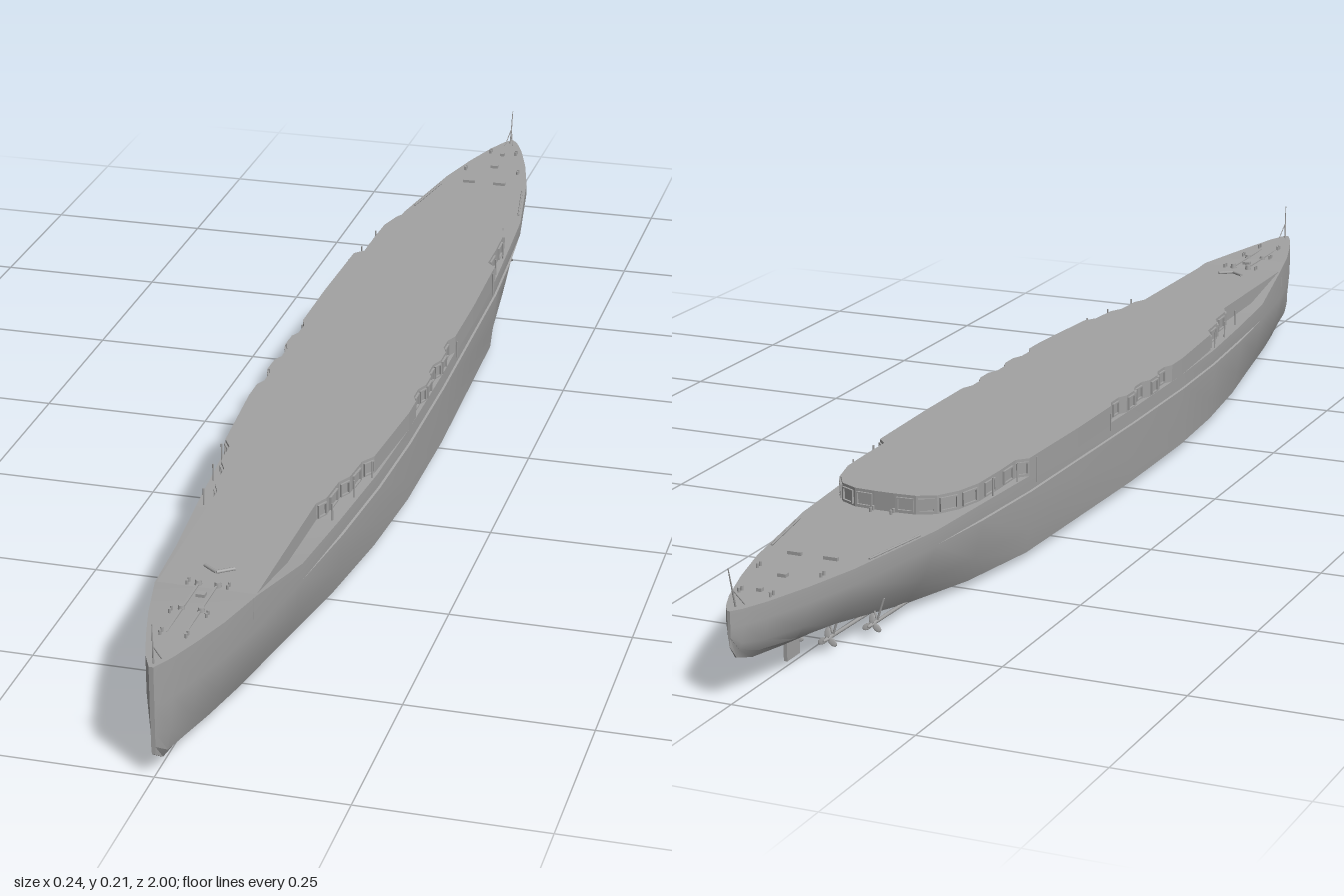
import * as THREE from 'three';
import { toCreasedNormals } from 'three/addons/utils/BufferGeometryUtils.js';

const grey = new THREE.MeshStandardMaterial({ color: 0xa2a2a2, side: THREE.DoubleSide });
grey.name = 'hull grey';

// Hull stations from stern to bow: z, keel height, deck height, half breadth, bilge fullness
const STATIONS = [
  [-1, 0.075, 0.121, 0.002, 0.5],
  [-0.985, 0.056, 0.121, 0.012, 0.45],
  [-0.95, 0.045, 0.121, 0.027, 0.5],
  [-0.88, 0.038, 0.121, 0.049, 0.55],
  [-0.8, 0.033, 0.121, 0.069, 0.6],
  [-0.62, 0.002, 0.121, 0.098, 0.52],
  [-0.5, 0, 0.122, 0.109, 0.78],
  [-0.36, 0, 0.122, 0.117, 0.93],
  [0, 0, 0.122, 0.122, 0.97],
  [0.2, 0, 0.122, 0.121, 0.965],
  [0.35, 0, 0.122, 0.115, 0.93],
  [0.5, 0, 0.123, 0.103, 0.86],
  [0.64, 0, 0.125, 0.087, 0.74],
  [0.78, 0, 0.148, 0.068, 0.6],
  [0.86, 0.002, 0.149, 0.05, 0.52],
  [0.92, 0.006, 0.151, 0.033, 0.45],
  [0.97, 0.012, 0.153, 0.017, 0.5],
  [1, 0.032, 0.154, 0.003, 0.9],
];

// Cross-section: flat bottom, bilge, side, belt ledge and deck, mirrored to a ring
function section([z, keel, top, w, full], squash = 1) {
  const ledge = Math.abs(z) < 0.6 ? 0.003 : 0;
  const side = [
    [w * Math.max(0.1, 1.5 * full - 0.64), keel], [w * full, keel + 0.011],
    [w * (0.5 + full / 2), keel + (0.1 - keel) * 0.45],
    [w, 0.1], [w - ledge, 0.101], [w - ledge, top],
  ];
  const ring = [[0, keel], ...side, [0, top], ...side.map(([x, y]) => [-x, y]).reverse(), [0, keel]];
  return ring.map(([x, y]) => [x * squash, y, z]);
}

function hullGeometry() {
  const rows = STATIONS.map((s) => section(s));
  rows.unshift(section(STATIONS[0], 0)); // collapsed rows close the ends
  rows.push(section(STATIONS[STATIONS.length - 1], 0));
  const n = rows[0].length, index = [];
  for (let r = 0; r < rows.length - 1; r++) {
    for (let i = 0; i < n - 1; i++) {
      const a = r * n + i, d = a + n;
      index.push(a, a + 1, d + 1, a, d + 1, d);
    }
  }
  const g = new THREE.BufferGeometry();
  g.setAttribute('position', new THREE.Float32BufferAttribute(rows.flat(2), 3));
  g.setIndex(index);
  return toCreasedNormals(g, 0.45);
}

// Upper deck edge on the left side, from bow to stern: x, z
function deckEdge() {
  const edge = [
    [0.066, 0.79], [0.069, 0.51], [0.078, 0.49], [0.081, 0.44], [0.091, 0.42],
    [0.095, 0.37], [0.107, 0.35], [0.118, 0.2],
  ];
  // Three gun notches amidships
  for (const z of [0.13, 0.04, -0.05]) {
    edge.push([0.118, z + 0.03], [0.111, z + 0.015], [0.111, z - 0.012], [0.118, z - 0.03]);
  }
  edge.push([0.118, -0.2], [0.114, -0.36], [0.1, -0.375], [0.1, -0.43], [0.098, -0.49]);
  edge.push([0.088, -0.53], [0.07, -0.56], [0.045, -0.573], [0.015, -0.575]);
  return edge;
}

function slab(edge, y0, y1) {
  const pts = [...edge, ...edge.map(([x, z]) => [-x, z]).reverse()];
  const shape = new THREE.Shape(pts.map(([x, z]) => new THREE.Vector2(x, -z)));
  const g = new THREE.ExtrudeGeometry(shape, { depth: y1 - y0, bevelEnabled: false });
  return g.rotateX(-Math.PI / 2).translate(0, y0, 0);
}

function frameGeometry(w, h, t, depth) {
  const rect = (path, a, b) => path.moveTo(-a, -b).lineTo(a, -b).lineTo(a, b).lineTo(-a, b).closePath();
  const shape = rect(new THREE.Shape(), w / 2, h / 2);
  shape.holes.push(rect(new THREE.Path(), w / 2 - t, h / 2 - t));
  return new THREE.ExtrudeGeometry(shape, { depth, bevelEnabled: false });
}

export function createModel() {
  const model = new THREE.Group();
  model.name = 'shipHull';
  const add = (name, geo, x = 0, y = 0, z = 0) => {
    const m = new THREE.Mesh(geo, grey);
    m.name = name;
    m.position.set(x, y, z);
    model.add(m);
    return m;
  };
  const box = (name, w, h, d, x, y, z) => add(name, new THREE.BoxGeometry(w, h, d), x, y, z);
  const rod = (name, a, b, r, r2 = r) => {
    const p = new THREE.Vector3(...a), q = new THREE.Vector3(...b), dir = q.clone().sub(p);
    const m = add(name, new THREE.CylinderGeometry(r2, r, dir.length(), 8));
    m.position.copy(p).add(q).multiplyScalar(0.5);
    m.quaternion.setFromUnitVectors(new THREE.Vector3(0, 1, 0), dir.normalize());
  };

  const edge = deckEdge();
  add('hull', hullGeometry());
  add('upperDeck', slab(edge, 0.118, 0.1475));

  // Gun port frames along the recessed walls
  for (let i = 0; i < edge.length - 1; i++) {
    const [x0, z0] = edge[i], [x1, z1] = edge[i + 1];
    const len = Math.hypot(x1 - x0, z1 - z0), z = (z0 + z1) / 2;
    const recess = (z > 0.34 && z < 0.51) || z < -0.36 || (z < 0.15 && z > -0.07);
    if (!recess || len < 0.018) continue;
    for (const s of [-1, 1]) {
      const geo = frameGeometry(Math.min(len * 0.8, 0.03), 0.019, 0.002, 0.003);
      const frame = add('gunPortFrame', geo, s * (x0 + x1) / 2, 0.134, z);
      frame.rotation.y = Math.atan2(s * (z0 - z1), s * s * (x1 - x0));
    }
  }

  for (const s of [-1, 1]) {
    // Posts at the recessed corners
    for (const [x, z] of [[0.09, 0.505], [0.1, 0.43], [0.108, 0.365], [0.109, -0.39], [0.105, -0.46]]) {
      rod('recessPost', [s * x, 0.12, z], [s * x, 0.1475, z], 0.0012);
    }

    // Anchors and hawse pipes
    const hawse = add('hawsePipe', new THREE.TorusGeometry(0.005, 0.0018, 8, 16), s * 0.019, 0.137, 0.945);
    hawse.rotation.y = s * 1.2;
    rod('anchorShank', [s * 0.021, 0.137, 0.945], [s * 0.022, 0.124, 0.942], 0.0015);
    rod('anchorFlukes', [s * 0.021, 0.125, 0.951], [s * 0.023, 0.125, 0.933], 0.002);

    // Foredeck chains, capstans and bollards
    box('anchorChain', 0.003, 0.002, 0.13, s * 0.012, 0.15, 0.84);
    for (const z of [0.77, 0.84]) {
      add('capstan', new THREE.CylinderGeometry(0.004, 0.005, 0.007, 12), s * 0.013, 0.151, z);
    }
    for (const [x, y, z] of [[0.027, 0.149, 0.77], [0.024, 0.15, 0.85], [0.017, 0.152, 0.91],
      [0.015, 0.123, -0.583], [0.045, 0.122, -0.84], [0.022, 0.122, -0.93]]) {
      for (const d of [-0.004, 0.004]) {
        add('bollard', new THREE.CylinderGeometry(0.002, 0.002, 0.006, 8), s * x, y + 0.002, z + d);
      }
    }

    // Breakwater, quarterdeck fittings and side booms
    rod('breakwater', [0, 0.149, 0.735], [s * 0.02, 0.149, 0.72], 0.0025);
    box('skylight', 0.02, 0.005, 0.005, s * 0.026, 0.123, -0.78);
    rod('deckRail', [s * 0.07, 0.122, -0.76], [s * 0.088, 0.122, -0.65], 0.0015);
    rod('sideBoom', [s * 0.12, 0.112, -0.085], [s * 0.12, 0.138, -0.085], 0.0013);
    rod('rearBoom', [s * 0.116, 0.108, -0.34], [s * 0.116, 0.145, -0.34], 0.0013);

    // Propeller shafts, struts and screws
    for (const [x, z] of [[0.024, -0.79], [0.052, -0.72]]) {
      rod('propellerShaft', [s * x, 0.018, z], [s * x * 0.95, 0.012, z + 0.18], 0.0025);
      for (const d of [-0.01, 0.01]) {
        rod('shaftStrut', [s * x, 0.018, z + 0.015], [s * x + d, 0.05, z + 0.015], 0.0016);
      }
      rod('propellerHub', [s * x, 0.018, z + 0.005], [s * x, 0.018, z - 0.012], 0.004, 0.0015);
      for (let k = 0; k < 3; k++) {
        const a = (k * Math.PI * 2) / 3 + Math.PI / 2;
        const blade = add('propellerBlade', new THREE.SphereGeometry(1, 10, 6),
          s * x + Math.cos(a) * 0.008, 0.018 + Math.sin(a) * 0.008, z);
        blade.scale.set(0.0075, 0.0045, 0.001);
        blade.rotation.set(0.35, 0, a);
      }
    }
  }

  // Rudder
  box('rudder', 0.005, 0.033, 0.034, 0, 0.024, -0.842);
  rod('rudderStock', [0, 0.03, -0.837], [0, 0.055, -0.837], 0.003);

  // Centreline hatches
  box('sternHatch', 0.012, 0.005, 0.009, 0, 0.123, -0.86);
  box('sternHatch', 0.007, 0.005, 0.007, 0, 0.123, -0.92);
  box('foredeckHatch', 0.012, 0.005, 0.01, 0, 0.15, 0.8);

  // Jackstaff and ensign staff with stays
  rod('jackstaff', [0, 0.152, 0.99], [0, 0.208, 0.992], 0.0013, 0.0007);
  rod('ensignStaff', [0, 0.12, -0.982], [0, 0.175, -0.998], 0.0013, 0.0007);
  for (const s of [-1, 1]) {
    rod('jackstaffStay', [s * 0.006, 0.153, 0.976], [0, 0.178, 0.991], 0.0008);
    rod('ensignStay', [s * 0.007, 0.12, -0.97], [0, 0.145, -0.989], 0.0008);
  }
  return model;
}
